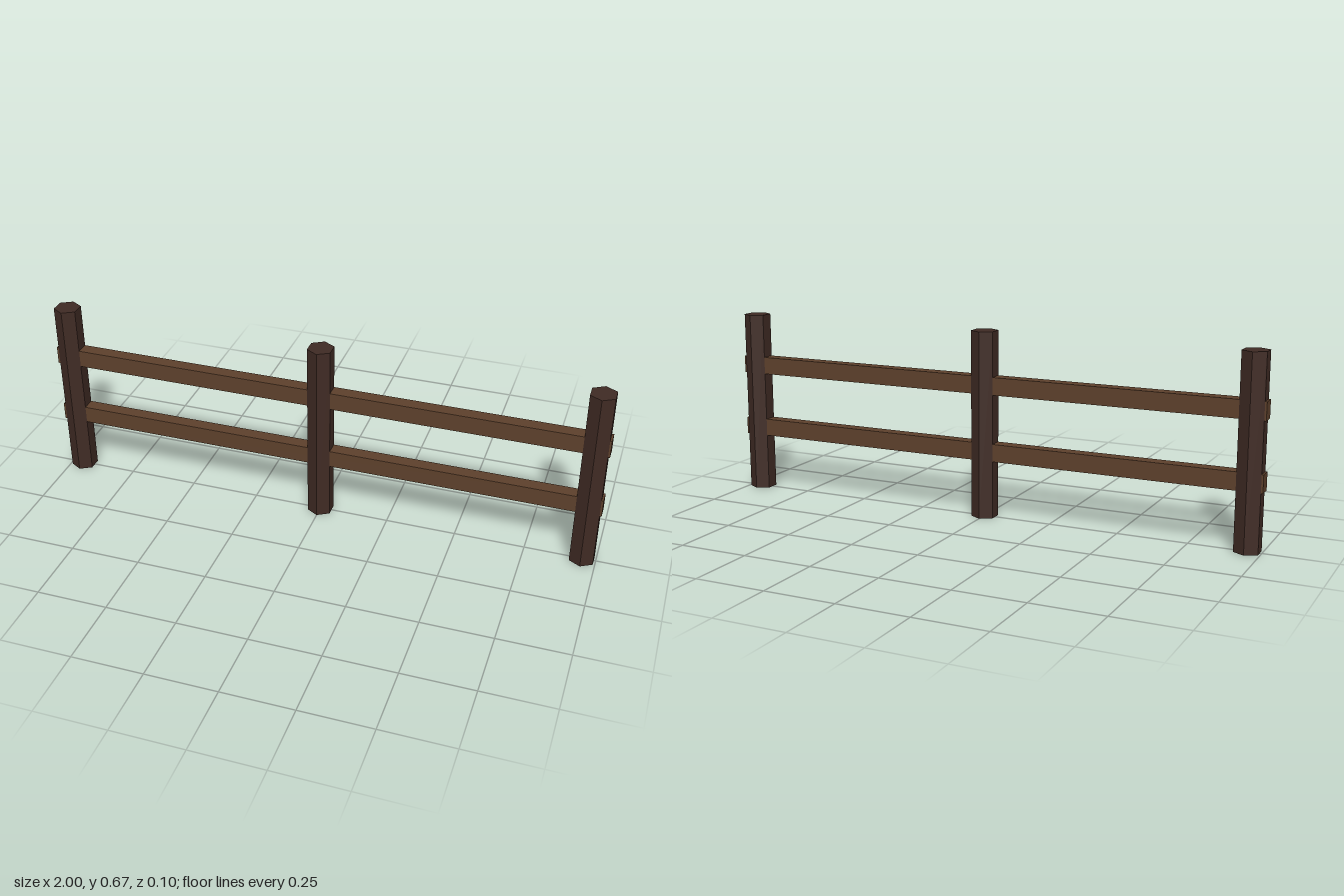
import * as THREE from 'three';

export function createModel() {
  const fence = new THREE.Group();
  fence.name = 'fence';

  const postWood = new THREE.MeshStandardMaterial({ color: 0x402b24, flatShading: true });
  postWood.name = 'dark post wood';
  const railWood = new THREE.MeshStandardMaterial({ color: 0x5e412c, flatShading: true });
  railWood.name = 'brown rail wood';

  // Three hexagonal posts, flat sides facing along the fence
  const height = 0.667;
  const postGeometry = new THREE.CylinderGeometry(0.0476, 0.0476, height, 6);
  [['rightPost', -0.952], ['middlePost', 0], ['leftPost', 0.952]].forEach(([name, x]) => {
    const post = new THREE.Mesh(postGeometry, postWood);
    post.name = name;
    post.position.set(x, height / 2, 0);
    fence.add(post);
  });

  // Two rails running through the posts, ends just poking out
  const railGeometry = new THREE.BoxGeometry(2, 0.063, 0.0476);
  [['lowerRail', 0.238], ['upperRail', 0.476]].forEach(([name, y]) => {
    const rail = new THREE.Mesh(railGeometry, railWood);
    rail.name = name;
    rail.position.y = y;
    fence.add(rail);
  });

  return fence;
}
